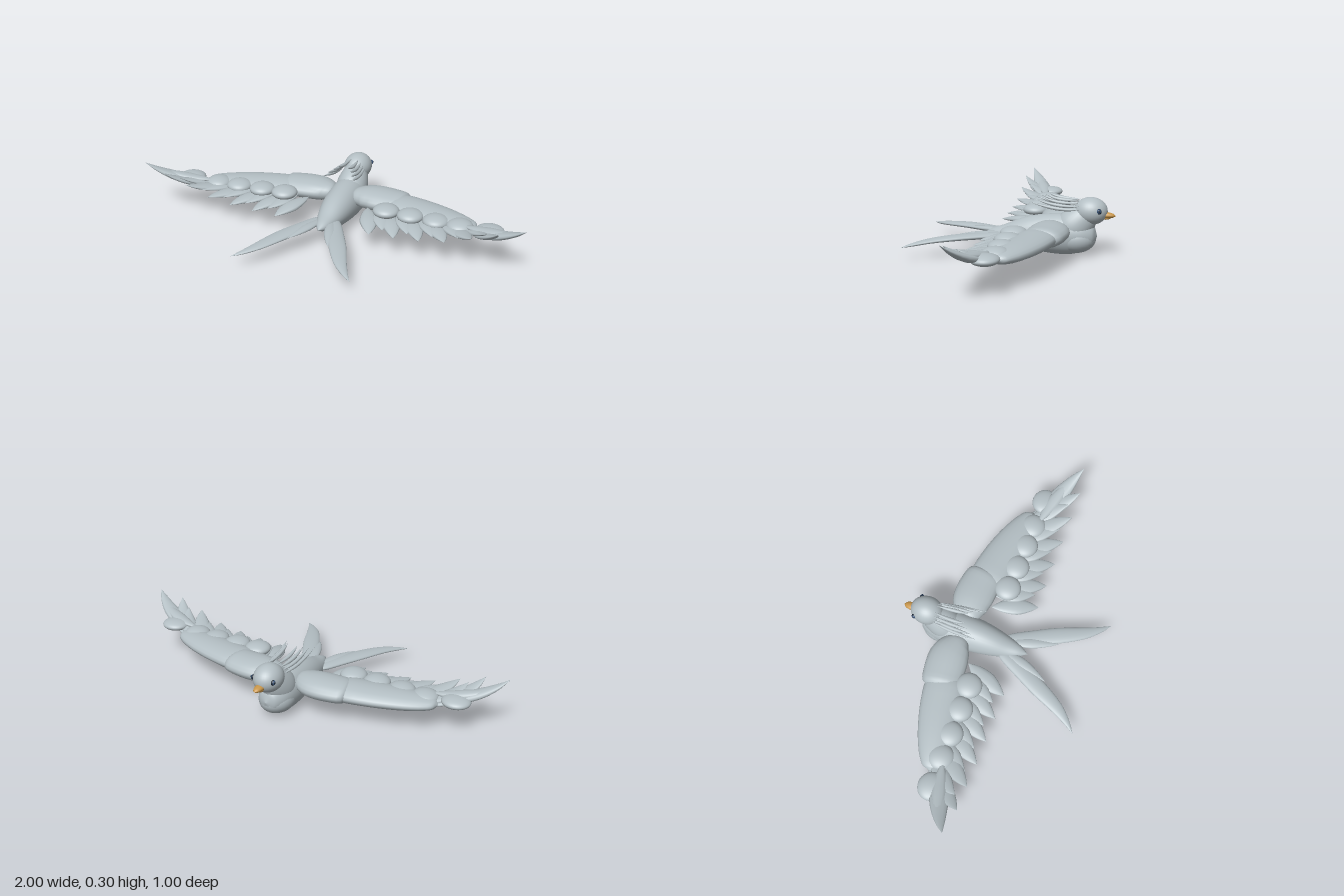
import * as THREE from 'three';

const plumage = new THREE.MeshStandardMaterial({ name: 'grey plumage', color: 0xb4bfc4 });
const ochre = new THREE.MeshStandardMaterial({ name: 'ochre beak', color: 0xc8964a });
const navy = new THREE.MeshStandardMaterial({ name: 'navy iris', color: 0x3a5578 });
const dark = new THREE.MeshStandardMaterial({ name: 'dark pupil', color: 0x1c2633 });

// Smooth elliptical sweep; each station is [x, y, z, halfWidth, halfHeight]
function sweep(name, stations, material = plumage, rings = 28, sides = 20) {
  const path = new THREE.CatmullRomCurve3(stations.map(s => new THREE.Vector3(s[0], s[1], s[2])));
  const size = new THREE.CatmullRomCurve3(
    stations.map(s => new THREE.Vector3(s[3], s[4], 0)), false, 'catmullrom', 0.5);
  const up = new THREE.Vector3(0, 1, 0), pos = [], index = [];
  for (let i = 0; i <= rings; i++) {
    // Rings gather towards the ends to round them
    const t = 0.5 - 0.5 * Math.cos(Math.PI * i / rings);
    const c = path.getPoint(t), r = size.getPoint(t), tan = path.getTangent(t);
    const side = up.clone().cross(tan).normalize();
    const lift = tan.clone().cross(side);
    for (let j = 0; j < sides; j++) {
      const a = j / sides * Math.PI * 2;
      const p = c.clone()
        .addScaledVector(side, Math.cos(a) * Math.max(r.x, 0.0003))
        .addScaledVector(lift, Math.sin(a) * Math.max(r.y, 0.0003));
      pos.push(p.x, p.y, p.z);
      if (i < rings) {
        const k = (j + 1) % sides, m = i * sides, n = m + sides;
        index.push(m + j, m + k, n + j, m + k, n + k, n + j);
      }
    }
  }
  const g = new THREE.BufferGeometry();
  g.setAttribute('position', new THREE.Float32BufferAttribute(pos, 3));
  g.setIndex(index);
  g.computeVertexNormals();
  const mesh = new THREE.Mesh(g, material);
  mesh.name = name;
  return mesh;
}

// Leaf-shaped feather bent through three points
function feather(name, root, bend, tip, w, h) {
  const curve = new THREE.QuadraticBezierCurve3(
    new THREE.Vector3(...root), new THREE.Vector3(...bend), new THREE.Vector3(...tip));
  const shape = [0, 0.6, 0.9, 1, 0.8, 0.47, 0];
  return sweep(name, shape.map((k, i) => {
    const p = curve.getPoint(i / (shape.length - 1));
    return [p.x, p.y, p.z, w * k, h * k];
  }), plumage, 16, 12);
}

function ellipsoid(name, center, radii, material = plumage) {
  const mesh = new THREE.Mesh(new THREE.SphereGeometry(1, 32, 20), material);
  mesh.name = name;
  mesh.position.set(...center);
  mesh.scale.set(...radii);
  return mesh;
}

function wing(s) {
  const g = new THREE.Group();
  g.name = s > 0 ? 'leftWing' : 'rightWing';
  const flip = stations => stations.map(([x, ...rest]) => [s * x, ...rest]);
  // Shoulder and forearm
  g.add(sweep('shoulder', flip([
    [0.04, 0.145, -0.18, 0, 0], [0.06, 0.145, -0.18, 0.045, 0.035], [0.1, 0.145, -0.19, 0.08, 0.047],
    [0.16, 0.146, -0.2, 0.1, 0.052], [0.25, 0.146, -0.195, 0.101, 0.05],
    [0.315, 0.146, -0.185, 0.085, 0.043], [0.34, 0.146, -0.18, 0, 0]])));
  g.add(sweep('forearm', flip([
    [0.22, 0.143, -0.17, 0, 0], [0.28, 0.143, -0.168, 0.09, 0.042], [0.4, 0.144, -0.15, 0.1, 0.043],
    [0.55, 0.143, -0.115, 0.09, 0.039], [0.65, 0.142, -0.09, 0.07, 0.032],
    [0.71, 0.142, -0.078, 0.042, 0.021], [0.73, 0.142, -0.075, 0, 0]])));
  // Rounded coverts along the trailing edge
  [0.275, 0.4, 0.53, 0.65].forEach((x, i) =>
    g.add(ellipsoid('covert', [s * x, 0.162 - i * 0.003, -0.052], [0.066, 0.031, 0.066])));
  g.add(ellipsoid('hand', [s * 0.8, 0.163, -0.04], [0.07, 0.026, 0.065]));
  // Flight feathers, more swept and raised towards the tip
  const tipY = [0.11, 0.115, 0.125, 0.145, 0.19, 0.235];
  tipY.forEach((y, i) => {
    const x = 0.25 + i * 0.125, reach = 0.09 + i * 0.02;
    g.add(feather('flightFeather', [s * (x - reach), 0.135, -0.1],
      [s * (x - reach * 0.35), 0.125 + i * 0.004, 0.03], [s * x, y, 0.124], 0.045, 0.016));
    // Shorter feathers fill the gaps
    if (i < 5) g.add(feather('shortFeather', [s * (x - reach + 0.06), 0.14, -0.1],
      [s * (x + 0.02), 0.135 + i * 0.004, 0.0], [s * (x + 0.055), y + 0.015, 0.085], 0.042, 0.014));
  });
  // Long wing tip
  g.add(feather('tipFeather', [s * 0.66, 0.15, -0.04], [s * 0.87, 0.15, 0.01], [s * 1.0, 0.265, 0.1], 0.046, 0.02));
  g.add(feather('tipCovert', [s * 0.67, 0.17, -0.03], [s * 0.83, 0.165, 0.0], [s * 0.95, 0.225, 0.06], 0.035, 0.018));
  return g;
}

export function createModel() {
  const bird = new THREE.Group();
  bird.name = 'bird';

  // Body, breast, neck and head
  bird.add(sweep('body', [
    [0, 0.095, 0.155, 0, 0], [0, 0.095, 0.11, 0.03, 0.024], [0, 0.095, 0.05, 0.052, 0.044],
    [0, 0.098, -0.02, 0.07, 0.07], [0, 0.103, -0.1, 0.083, 0.088], [0, 0.104, -0.2, 0.09, 0.1],
    [0, 0.103, -0.28, 0.088, 0.099], [0, 0.101, -0.345, 0.075, 0.08],
    [0, 0.1, -0.393, 0.045, 0.05], [0, 0.1, -0.41, 0, 0]], plumage, 40, 32));
  bird.add(ellipsoid('breast', [0, 0.085, -0.3], [0.087, 0.074, 0.105]));
  bird.add(sweep('neck', [
    [0, 0.1, -0.24, 0.075, 0.08], [0, 0.145, -0.295, 0.08, 0.088],
    [0, 0.185, -0.333, 0.07, 0.078], [0, 0.23, -0.365, 0.05, 0.055]], plumage, 20, 32));
  bird.add(ellipsoid('head', [0, 0.224, -0.377], [0.071, 0.068, 0.083]));

  // Beak
  bird.add(sweep('upperBeak', [
    [0, 0.205, -0.435, 0.023, 0.016], [0, 0.206, -0.465, 0.021, 0.014],
    [0, 0.204, -0.488, 0.014, 0.009], [0, 0.202, -0.5, 0, 0]], ochre, 16, 16));
  bird.add(sweep('lowerBeak', [
    [0, 0.195, -0.435, 0.018, 0.012], [0, 0.194, -0.462, 0.015, 0.009], [0, 0.196, -0.482, 0, 0]], ochre, 12, 16));

  for (const s of [1, -1]) {
    // Eyes
    bird.add(ellipsoid('eyeRim', [s * 0.053, 0.232, -0.423], [0.01, 0.0145, 0.0135], dark));
    bird.add(ellipsoid('iris', [s * 0.056, 0.233, -0.424], [0.01, 0.012, 0.011], navy));
    bird.add(ellipsoid('pupil', [s * 0.063, 0.235, -0.426], [0.004, 0.005, 0.005], dark));

    // Crest plumes
    [[0.018, 0.284, 0.025, 0.302, -0.165], [0.034, 0.272, 0.045, 0.292, -0.145],
     [0.046, 0.258, 0.063, 0.284, -0.115], [0.054, 0.243, 0.077, 0.272, -0.09]]
      .forEach(([x, y, tx, ty, tz]) => bird.add(feather('crestPlume',
        [s * x, y - 0.006, -0.33], [s * (x + 0.012), y - 0.014, -0.22], [s * tx, ty, tz], 0.01, 0.009)));

    // Forked tail
    bird.add(sweep('tailStreamer', [
      [s * 0.02, 0.095, -0.01, 0, 0], [s * 0.045, 0.094, 0.05, 0.03, 0.013],
      [s * 0.095, 0.094, 0.16, 0.04, 0.015], [s * 0.15, 0.092, 0.27, 0.042, 0.014],
      [s * 0.21, 0.083, 0.385, 0.031, 0.011], [s * 0.265, 0.072, 0.46, 0.014, 0.007],
      [s * 0.303, 0.065, 0.5, 0, 0]]));
    bird.add(feather('tailCovert', [s * 0.02, 0.1, 0.02], [s * 0.06, 0.102, 0.16], [s * 0.105, 0.095, 0.285], 0.028, 0.012));
    bird.add(wing(s));
  }
  return bird;
}
